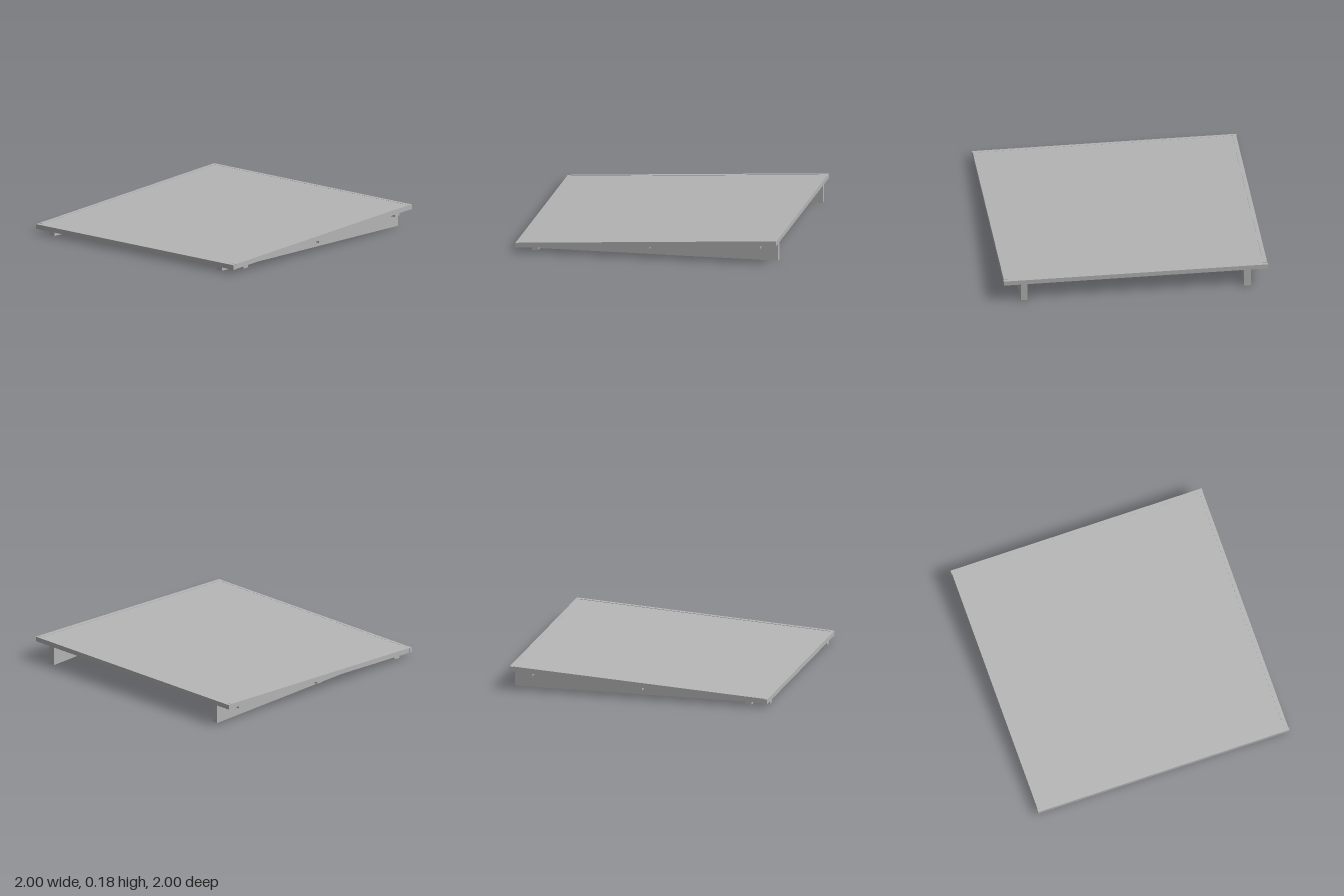
import * as THREE from 'three';

// Height of the sloping deck surface at depth z
const deckY = (z) => 0.123 - 0.059 * z;

export function createModel() {
  const model = new THREE.Group();
  model.name = 'slopedDeck';
  const grey = new THREE.MeshStandardMaterial({ color: 0xb6b6b6 });
  grey.name = 'grey';

  // Side profile of [z, y] points extruded along x
  function addProfile(name, points, x0, x1) {
    const shape = new THREE.Shape(points.map(([z, y]) => new THREE.Vector2(z, y)));
    const geometry = new THREE.ExtrudeGeometry(shape, { depth: x1 - x0, bevelEnabled: false });
    geometry.rotateY(-Math.PI / 2).translate(x1, 0, 0);
    const mesh = new THREE.Mesh(geometry, grey);
    mesh.name = name;
    model.add(mesh);
  }

  // Bar parallel to the slope, from `top` to `bottom` relative to the deck surface
  function addSloped(name, x0, x1, z0, z1, top, bottom) {
    addProfile(name, [
      [z0, deckY(z0) + bottom], [z1, deckY(z1) + bottom],
      [z1, deckY(z1) + top], [z0, deckY(z0) + top],
    ], x0, x1);
  }

  // Four deck panels side by side
  const edges = [-0.967, -0.5, 0, 0.5, 0.967];
  for (let i = 0; i < 4; i++) {
    addSloped('deckPanel', edges[i], edges[i + 1], -0.975, 0.975, 0, -0.012);
  }

  // Edge trim around the deck
  addSloped('frontTrim', -1, 1, 0.975, 1, 0.001, -0.035);
  addSloped('backTrim', -1, 1, -1, -0.975, 0.001, -0.035);
  addSloped('leftTrim', 0.967, 0.997, -0.975, 0.975, 0.003, -0.035);
  addSloped('rightTrim', -0.997, -0.967, -0.975, 0.975, 0.003, -0.035);

  // Cross battens under the panels
  for (const z of [0.85, 0, -0.85]) {
    addSloped('crossBatten', -0.985, 0.985, z - 0.025, z + 0.025, -0.012, -0.058);
  }

  // Tapered support beams
  for (const x of [-0.845, 0.845]) {
    addProfile('taperedBeam', [
      [-0.99, 0], [0.99, 0],
      [0.99, deckY(0.99) - 0.034], [0.975, deckY(0.975) - 0.012],
      [-0.975, deckY(-0.975) - 0.012], [-0.99, deckY(-0.99) - 0.034],
    ], x - 0.025, x + 0.025);
  }
  return model;
}
